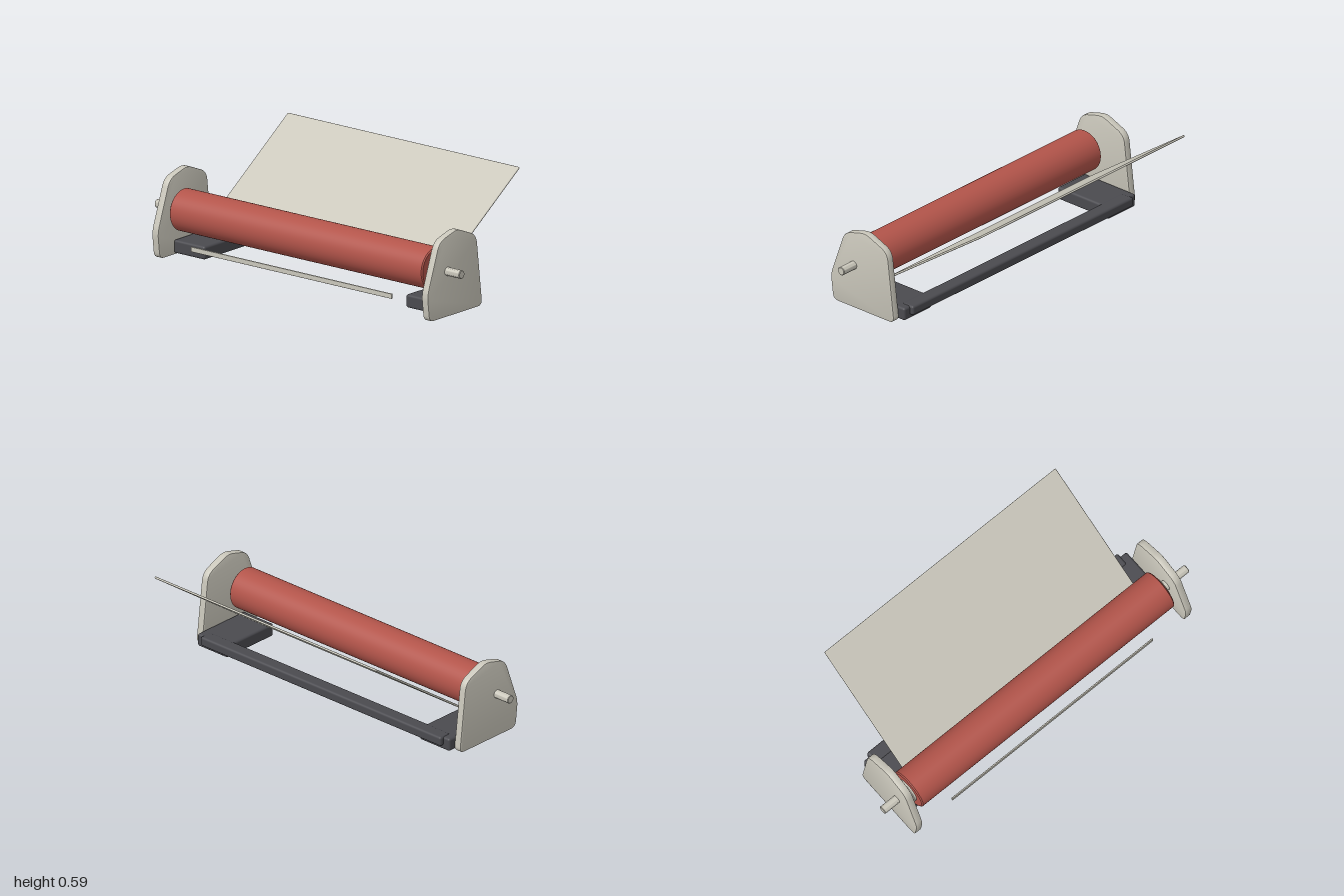
import * as THREE from 'three';
import { toCreasedNormals } from 'three/addons/utils/BufferGeometryUtils.js';
import { RoundedBoxGeometry } from 'three/addons/geometries/RoundedBoxGeometry.js';

const mat = (name, color) => new THREE.MeshStandardMaterial({ name, color });

// Closed outline from [x, y, cut] corners, each rounded over the distance cut
function roundedShape(corners) {
  const shape = new THREE.Shape();
  const n = corners.length;
  const toward = (a, b) => {
    const from = new THREE.Vector2(a[0], a[1]);
    const dir = new THREE.Vector2(b[0], b[1]).sub(from).normalize();
    return from.addScaledVector(dir, a[2]);
  };
  corners.forEach((c, i) => {
    const start = toward(c, corners[(i + n - 1) % n]);
    const end = toward(c, corners[(i + 1) % n]);
    if (i === 0) shape.moveTo(start.x, start.y);
    else shape.lineTo(start.x, start.y);
    shape.quadraticCurveTo(c[0], c[1], end.x, end.y);
  });
  shape.closePath();
  return shape;
}

export function createModel() {
  const group = new THREE.Group();
  const ivory = mat('ivory', 0xcac7bb);
  const red = mat('roller red', 0xb2544a);
  const dark = mat('dark grey', 0x4a4a4f);

  const add = (name, geometry, material, x = 0, y = 0, z = 0) => {
    const mesh = new THREE.Mesh(geometry, material);
    mesh.name = name;
    mesh.position.set(x, y, z);
    group.add(mesh);
    return mesh;
  };
  // Box given by its lower and upper corners, with softened edges
  const block = (name, material, lo, hi, radius) => add(
    name,
    new RoundedBoxGeometry(hi[0] - lo[0], hi[1] - lo[1], hi[2] - lo[2], 3, radius),
    material,
    (lo[0] + hi[0]) / 2, (lo[1] + hi[1]) / 2, (lo[2] + hi[2]) / 2);

  // Side plates: rounded outline in the z-y plane
  const outline = roundedShape([
    [0.022, 0, 0.035], [0.068, 0.379, 0.045], [0.218, 0.441, 0.035],
    [0.357, 0.402, 0.045], [0.45, 0.14, 0.035], [0.433, 0, 0.033],
  ].reverse());
  const plate = new THREE.ExtrudeGeometry(outline, {
    depth: 0.032, curveSegments: 8, bevelEnabled: true,
    bevelThickness: 0.004, bevelSize: 0.004, bevelOffset: -0.004, bevelSegments: 2,
  });
  plate.translate(0, 0, -0.016).rotateY(-Math.PI / 2);
  const plateGeometry = toCreasedNormals(plate, 0.6);

  // Roller, its end hubs and the through shaft share one axis
  const axisY = 0.237, axisZ = 0.295;
  const turned = (name, material, radius, length, bevel, x = 0) => {
    const h = length / 2;
    const profile = [
      [0, -h], [radius - bevel, -h], [radius, -h + bevel],
      [radius, h - bevel], [radius - bevel, h], [0, h],
    ].map(([r, y]) => new THREE.Vector2(r, y));
    const geometry = toCreasedNormals(new THREE.LatheGeometry(profile, 48), 0.6);
    return add(name, geometry.rotateZ(-Math.PI / 2), material, x, axisY, axisZ);
  };
  turned('roller', red, 0.109, 1.66, 0.006);
  turned('shaft', ivory, 0.022, 2, 0.003);

  for (const side of [-1, 1]) {
    const label = side > 0 ? 'left' : 'right';
    add(label + 'SidePlate', plateGeometry, ivory, side * 0.885, 0, 0);
    turned(label + 'RollerHub', ivory, 0.065, 0.03, 0.003, side * 0.828);
    turned(label + 'Bushing', ivory, 0.028, 0.04, 0.002, side * 0.85);
    const xs = [side * 0.66, side * 0.865].sort((a, b) => a - b);
    block(label + 'Foot', dark, [xs[0], 0.01, -0.013], [xs[1], 0.079, 0.33], 0.012);
  }

  // Rear crossbar joining the feet
  block('crossbar', dark, [-0.825, 0.032, -0.035], [0.825, 0.083, 0.04], 0.012);

  // Thin front tear strip
  block('frontStrip', ivory, [-0.66, 0.078, 0.43], [0.66, 0.104, 0.438], 0.002);

  // Sloping rear tray
  const tray = add('tray', new RoundedBoxGeometry(1.52, 0.011, 0.757, 3, 0.005),
    ivory, 0, 0.3725, -0.13);
  tray.rotation.x = Math.atan2(0.435, 0.62);

  return group;
}
